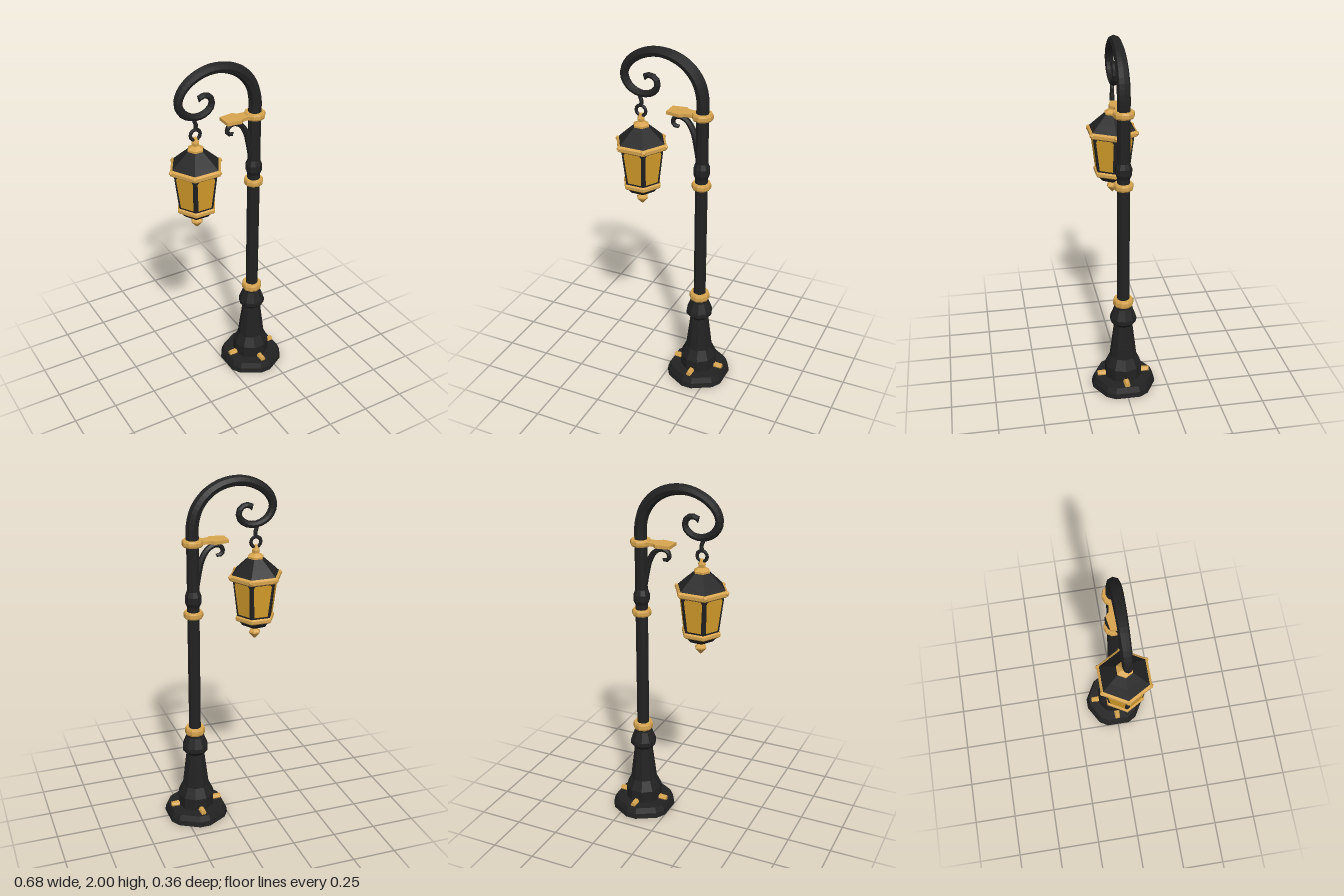
import * as THREE from 'three';

const mat = (name, color) => {
  const m = new THREE.MeshStandardMaterial({ color, flatShading: true });
  m.name = name;
  return m;
};

export function createModel() {
  const iron = mat('black iron', 0x222222);
  const gold = mat('gold trim', 0xd8a54e);
  const glass = mat('amber glass', 0xd9a02c);
  const root = new THREE.Group();
  root.name = 'streetLamp';

  const add = (parent, name, geometry, material, x = 0, y = 0, z = 0) => {
    const mesh = new THREE.Mesh(geometry, material);
    mesh.name = name;
    mesh.position.set(x, y, z);
    parent.add(mesh);
    return mesh;
  };
  // Faceted turned part from [radius, y] pairs, bottom to top
  const turned = (profile, sides, start = 0) => new THREE.LatheGeometry(
    profile.map(([r, y]) => new THREE.Vector2(r, y)), sides, start);
  // Beaded ring of given radius and height around y
  const ring = (r, h, inner, y, sides, start) => turned([
    [inner, y - h / 2], [r * 0.92, y - h / 2], [r, y - h * 0.25], [r, y + h * 0.25],
    [r * 0.92, y + h / 2], [inner, y + h / 2]], sides, start);
  // Tapered tube along a curve in the xy plane, closed to a point at its end
  const scroll = (points, segments, sides, radius) => {
    const curve = new THREE.CatmullRomCurve3(points.map(([x, y]) => new THREE.Vector3(x, y, 0)));
    const geo = new THREE.TubeGeometry(curve, segments, 1, sides);
    const pos = geo.attributes.position, v = new THREE.Vector3();
    for (let i = 0; i < pos.count; i++) {
      const u = Math.floor(i / (sides + 1)) / segments;
      const c = curve.getPointAt(u);
      v.fromBufferAttribute(pos, i).sub(c).multiplyScalar(u === 1 ? 0.001 : radius(u)).add(c);
      pos.setXYZ(i, v.x, v.y, v.z);
    }
    return geo;
  };

  // ---- Post ----
  const post = new THREE.Group();
  post.name = 'post';
  post.position.x = 0.17;
  root.add(post);

  // Plinth with alternating long and short sides
  const plinthProfile = [[0, 0], [0.184, 0], [0.18, 0.03], [0.166, 0.062], [0, 0.066]];
  const plinth = turned(plinthProfile, 12);
  const quarter = [9.5, 49.4, 67.6];
  const corners = [...quarter, ...quarter.map(a => 180 - a).reverse()];
  const angles = [...corners, ...corners.map(a => a + 180), corners[0] + 360];
  const pp = plinth.attributes.position;
  for (let i = 0; i < pp.count; i++) {
    const a = THREE.MathUtils.degToRad(angles[Math.floor(i / plinthProfile.length)]);
    const r = Math.hypot(pp.getX(i), pp.getZ(i));
    pp.setX(i, r * Math.sin(a));
    pp.setZ(i, r * Math.cos(a));
  }
  add(post, 'plinth', plinth, iron);

  add(post, 'pedestal', turned([[0.106, 0.06], [0.106, 0.135], [0.078, 0.195], [0.068, 0.28],
    [0.053, 0.4], [0.075, 0.425], [0.075, 0.45], [0.052, 0.51], [0.05, 0.54], [0, 0.54]], 10, Math.PI / 10), iron);
  add(post, 'pole', turned([[0.035, 0.5], [0.035, 1.3], [0.046, 1.325], [0.046, 1.36],
    [0.035, 1.39], [0.035, 1.69], [0, 1.69]], 10, Math.PI / 10), iron);
  add(post, 'lowerRing', ring(0.058, 0.042, 0.03, 0.545, 10), gold);
  add(post, 'middleRing', ring(0.054, 0.036, 0.03, 1.255, 10), gold);
  add(post, 'upperRing', ring(0.058, 0.036, 0.03, 1.658, 10), gold);

  // Bolts around the plinth
  for (let i = 0; i < 4; i++) {
    const a = i * Math.PI / 2;
    const bolt = add(post, 'bolt', new THREE.CylinderGeometry(0.016, 0.018, 0.048, 6), gold,
      0.127 * Math.cos(a), 0.072, 0.127 * Math.sin(a));
    bolt.rotation.set(0, -a, -Math.PI / 2);
  }

  // ---- Arm ending in a spiral ----
  add(root, 'arm', scroll([[0.17, 1.66], [0.17, 1.75], [0.145, 1.84], [0.085, 1.915], [0, 1.96],
    [-0.1, 1.97], [-0.195, 1.94], [-0.26, 1.885], [-0.283, 1.82], [-0.255, 1.76], [-0.195, 1.728],
    [-0.13, 1.735], [-0.09, 1.775], [-0.098, 1.82], [-0.135, 1.836], [-0.165, 1.822], [-0.162, 1.803]],
  44, 8, u => THREE.MathUtils.lerp(0.036, 0.015, Math.max(0, u - 0.15) / 0.85)), iron);

  // ---- Bracket under the arm ----
  const leaf = new THREE.Shape([[-0.02, -0.042], [0.06, -0.054], [0.08, -0.035], [0.15, -0.028],
    [0.15, 0.028], [0.08, 0.035], [0.06, 0.054], [-0.02, 0.042]].map(([x, y]) => new THREE.Vector2(x, y)));
  const shelf = new THREE.ExtrudeGeometry(leaf, { depth: 0.018, bevelEnabled: false });
  add(root, 'bracketShelf', shelf.rotateX(-Math.PI / 2), gold, 0, 1.651, 0);
  add(root, 'bracketScroll', scroll([[0.155, 1.42], [0.14, 1.49], [0.12, 1.56], [0.085, 1.615],
    [0.04, 1.635], [0.008, 1.62], [0.002, 1.592], [0.022, 1.575], [0.042, 1.585]],
  24, 6, u => 0.022 - 0.011 * u), iron);

  // ---- Hanging lantern ----
  const lantern = new THREE.Group();
  lantern.name = 'lantern';
  lantern.position.x = -0.188;
  root.add(lantern);
  const hex = profile => turned(profile, 6, Math.PI / 2);

  add(lantern, 'hook', scroll([[0.015, 1.735], [-0.004, 1.71], [0.004, 1.685], [0, 1.65]], 8, 6, () => 0.011), iron);
  add(lantern, 'hangingRing', new THREE.TorusGeometry(0.029, 0.01, 6, 12), iron, 0, 1.628, 0);
  add(lantern, 'topFinial', hex([[0.046, 1.53], [0.046, 1.55], [0.02, 1.567],
    [0.022, 1.585], [0.01, 1.612], [0, 1.615]]), gold);
  add(lantern, 'roof', hex([[0, 1.44], [0.148, 1.445], [0.095, 1.495], [0.045, 1.54], [0, 1.54]]), iron);
  add(lantern, 'upperBand', ring(0.153, 0.036, 0.1, 1.436, 6, Math.PI / 2), gold);
  for (let i = 0; i < 6; i++) {
    const a = i * Math.PI / 3;
    add(lantern, 'cornerBead', new THREE.IcosahedronGeometry(0.016, 0), gold,
      0.143 * Math.cos(a), 1.44, 0.143 * Math.sin(a));
  }

  // Tapered iron cage with an amber pane on each side
  const y0 = 1.205, y1 = 1.425;
  const cageRadius = y => THREE.MathUtils.mapLinear(y, y0, y1, 0.104, 0.132);
  add(lantern, 'cage', hex([[0, y0], [cageRadius(y0), y0], [cageRadius(y1), y1], [0, y1]]), iron);
  const paneShape = new THREE.Shape([[-0.039, 1.225], [0.039, 1.225], [0.052, 1.4], [0.044, 1.414],
    [-0.044, 1.414], [-0.052, 1.4]].map(([x, y]) => new THREE.Vector2(x, y)));
  for (let i = 0; i < 6; i++) {
    const pane = new THREE.ShapeGeometry(paneShape), p = pane.attributes.position;
    for (let j = 0; j < p.count; j++) p.setZ(j, cageRadius(p.getY(j)) * Math.cos(Math.PI / 6) + 0.003);
    add(lantern, 'glassPane', pane, glass).rotation.y = i * Math.PI / 3;
  }

  add(lantern, 'lowerBand', ring(0.114, 0.032, 0.08, 1.198, 6, Math.PI / 2), gold);
  add(lantern, 'bowl', hex([[0, 1.138], [0.04, 1.138], [0.072, 1.153], [0.1, 1.186], [0, 1.19]]), iron);
  add(lantern, 'bottomFinial', hex([[0, 1.066], [0.012, 1.078], [0.034, 1.104], [0.032, 1.112],
    [0.016, 1.126], [0.022, 1.142], [0, 1.145]]), gold);

  return root;
}
